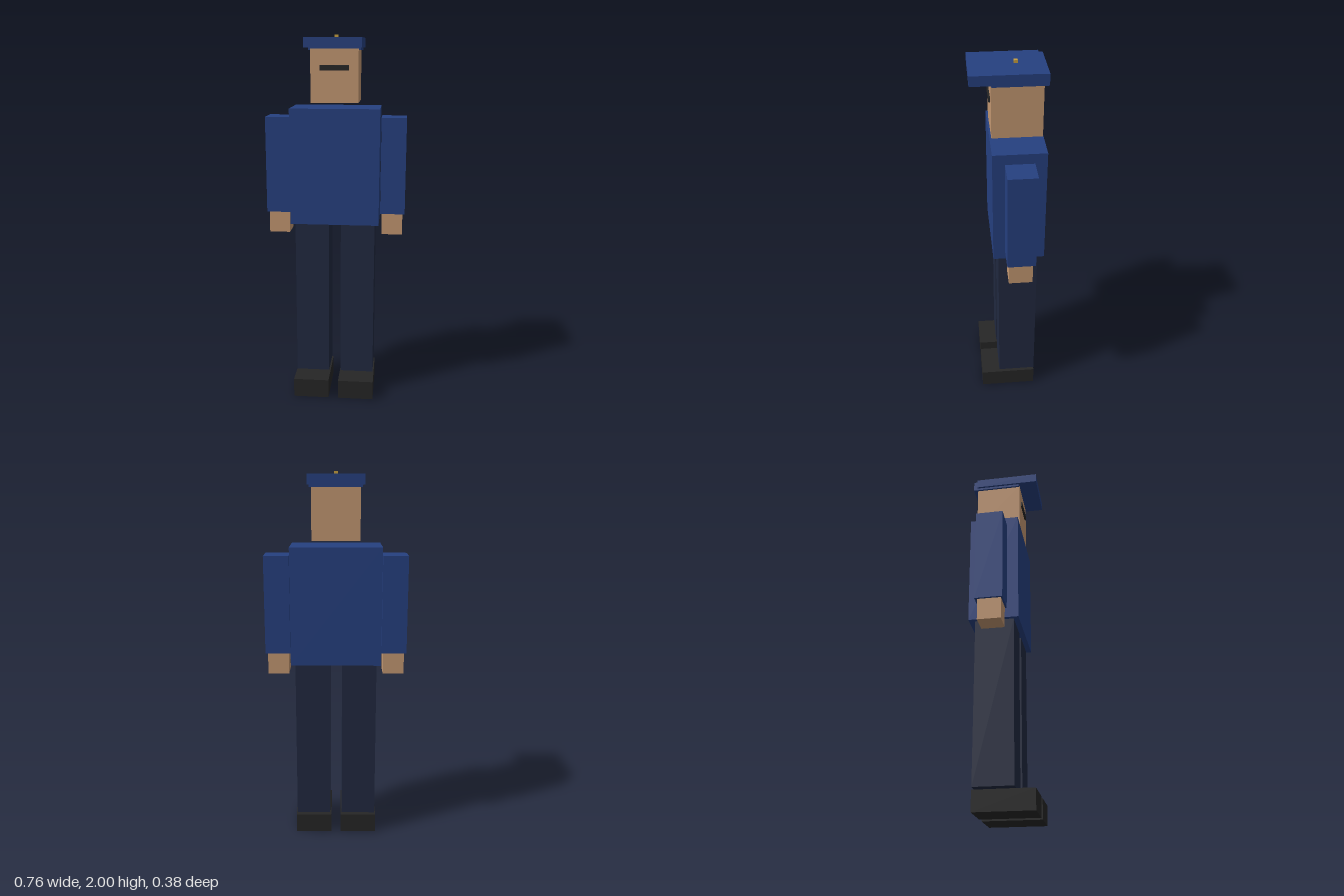
import * as THREE from 'three';

const material = (color) => new THREE.MeshStandardMaterial({ color, flatShading: true });

export function createModel() {
  const group = new THREE.Group();
  const blue = material(0x264080);
  const navy = material(0x212940);
  const skin = material(0xc49872);
  const black = material(0x262626);
  const gold = material(0xc8a040);

  // Box given by its extents along each axis
  const block = (name, mat, [x0, x1], [y0, y1], [z0, z1]) => {
    const mesh = new THREE.Mesh(new THREE.BoxGeometry(x1 - x0, y1 - y0, z1 - z0), mat);
    mesh.position.set((x0 + x1) / 2, (y0 + y1) / 2, (z0 + z1) / 2);
    mesh.name = name;
    group.add(mesh);
  };

  // Mirrored pair of boxes, left on +x
  const pair = (name, mat, [x0, x1], y, z) => {
    block('left' + name, mat, [x0, x1], y, z);
    block('right' + name, mat, [-x1, -x0], y, z);
  };

  // Body
  block('torso', blue, [-0.24, 0.24], [1.0, 1.625], [-0.178, 0.091]);
  pair('Arm', blue, [0.246, 0.38], [1.052, 1.575], [-0.117, 0.03]);
  pair('Hand', skin, [0.255, 0.368], [0.935, 1.052], [-0.103, 0.021]);
  pair('Leg', navy, [0.033, 0.218], [0.12, 1.0], [-0.145, 0.063]);
  pair('Shoe', black, [0.027, 0.224], [0, 0.106], [-0.145, 0.166]);

  // Head with a dark bar across the face
  block('head', skin, [-0.125, 0.125], [1.655, 1.93], [-0.167, 0.085]);
  block('faceBar', black, [-0.075, 0.075], [1.82, 1.847], [0.08, 0.093]);

  // Cap: brimmed top, band behind and under it, small button
  block('capTop', blue, [-0.146, 0.146], [1.935, 1.986], [-0.168, 0.187]);
  block('capBand', blue, [-0.135, 0.135], [1.922, 1.98], [-0.19, 0.082]);
  block('capButton', gold, [-0.01, 0.01], [1.98, 2.0], [-0.053, -0.033]);

  return group;
}
